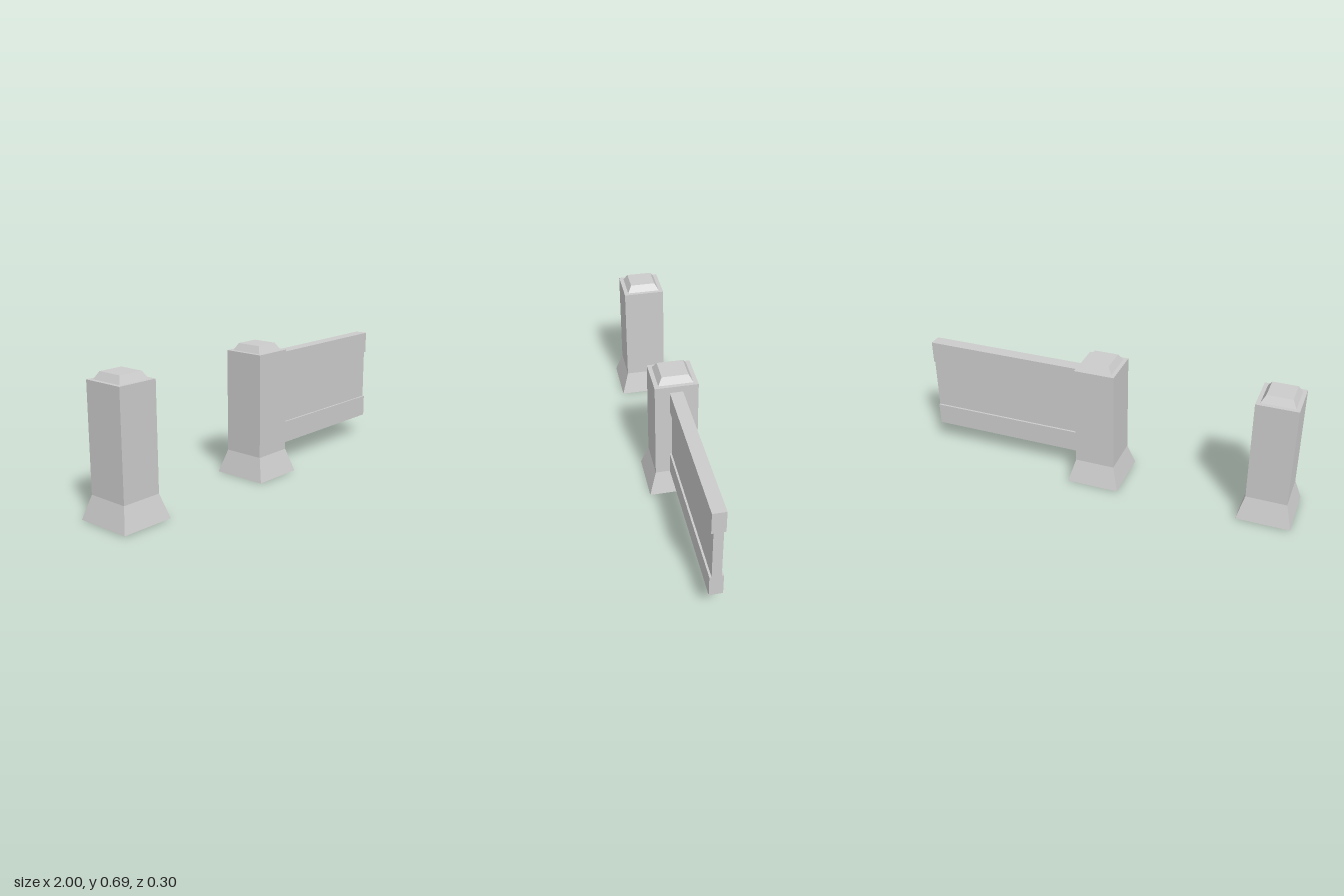
import * as THREE from 'three';

const material = new THREE.MeshStandardMaterial({ color: 0xcccccc, flatShading: true });

// Box whose bottom and top rectangles [halfX, halfZ] may differ, from y0 to y1
function taperedBlock(name, y0, y1, bottom, top) {
  const geometry = new THREE.BoxGeometry(2, y1 - y0, 2);
  geometry.translate(0, (y0 + y1) / 2, 0);
  const p = geometry.attributes.position;
  for (let i = 0; i < p.count; i++) {
    const [hx, hz] = p.getY(i) > (y0 + y1) / 2 ? top : bottom;
    p.setX(i, p.getX(i) * hx);
    p.setZ(i, p.getZ(i) * hz);
  }
  geometry.computeVertexNormals();
  const mesh = new THREE.Mesh(geometry, material);
  mesh.name = name;
  return mesh;
}

// Square post: flared foot, straight shaft, bevelled cap
function makePost(name, x, y, z) {
  const post = new THREE.Group();
  post.name = name;
  const shaft = [0.104, 0.109];
  post.add(
    taperedBlock('postFoot', 0, 0.12, [0.138, 0.146], shaft),
    taperedBlock('postShaft', 0.12, 0.653, shaft, shaft),
    taperedBlock('postCap', 0.653, 0.689, [0.084, 0.0875], [0.063, 0.0665])
  );
  post.position.set(x, y, z);
  return post;
}

// Fence panel: thin web between thicker top and bottom rails, extruded along x
function makePanel(x0, x1, z) {
  const rail = 0.033, web = 0.023;
  const side = [[rail, 0.12], [rail, 0.235], [web, 0.235], [web, 0.505], [rail, 0.505], [rail, 0.62]];
  const mirrored = side.map(([h, y]) => [-h, y]).reverse();
  const shape = new THREE.Shape([...side, ...mirrored].map(([h, y]) => new THREE.Vector2(h, y)));
  const geometry = new THREE.ExtrudeGeometry(shape, { depth: x1 - x0, bevelEnabled: false });
  geometry.rotateY(Math.PI / 2);
  const mesh = new THREE.Mesh(geometry, material);
  mesh.name = 'fencePanel';
  mesh.position.set(x0, 0, z);
  return mesh;
}

export function createModel() {
  const model = new THREE.Group();
  model.name = 'fence';
  model.add(
    makePost('endPost', -0.862, 0.003, -0.0025),
    makePost('panelPost', 0.045, 0, 0.0025),
    makePanel(0.148, 1, 0.004)
  );
  return model;
}
